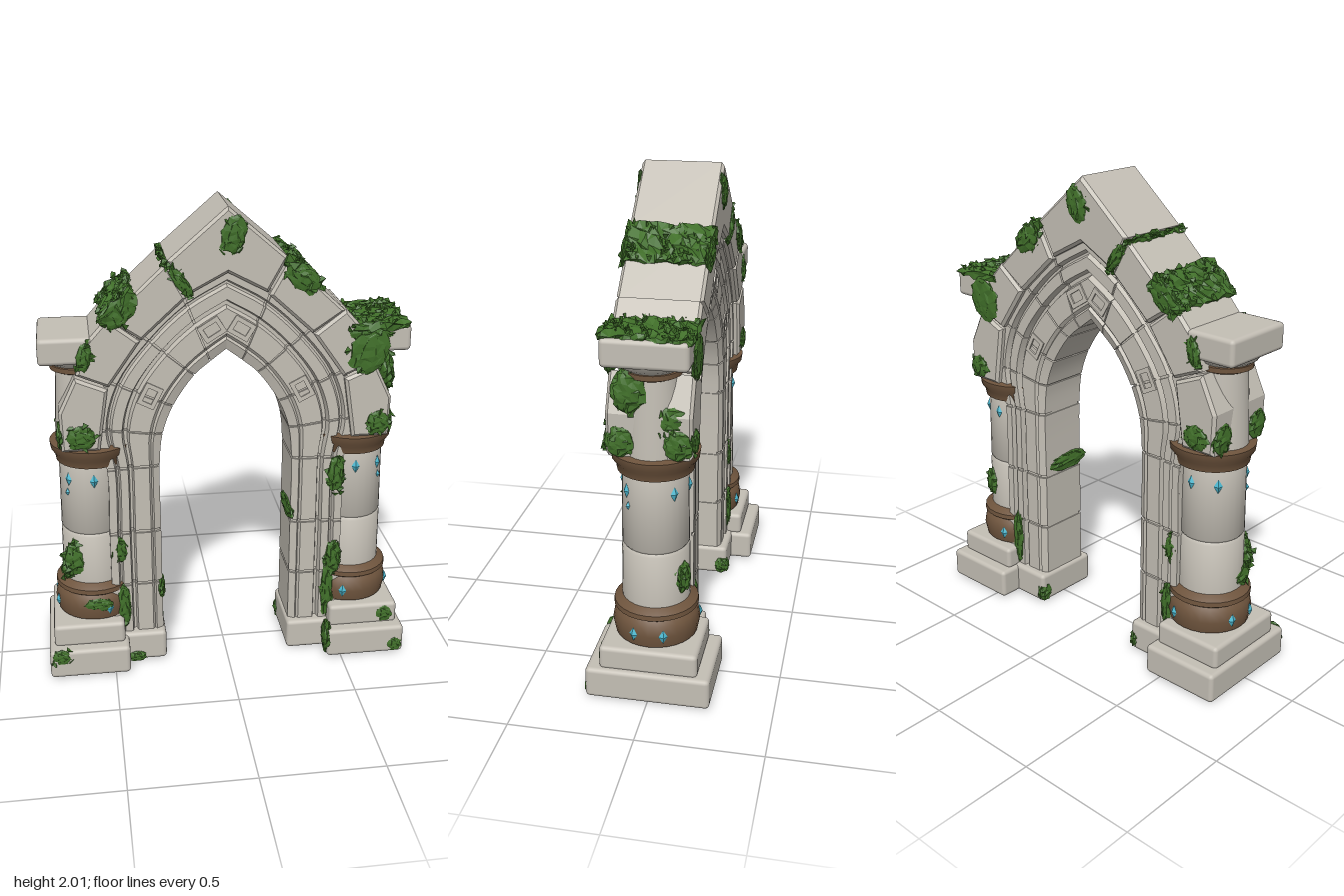
import * as THREE from 'three';
import { mergeGeometries, toCreasedNormals } from 'three/addons/utils/BufferGeometryUtils.js';
import { RoundedBoxGeometry } from 'three/addons/geometries/RoundedBoxGeometry.js';

const mat = (name, color) => {
  const m = new THREE.MeshStandardMaterial({ color });
  m.name = name;
  return m;
};

export function createModel() {
  const root = new THREE.Group();
  root.name = 'ruinedArch';
  const stone = mat('stone', 0xc4bfb5);
  const bronze = mat('bronze', 0x6e543d);
  const moss = mat('moss', 0x41702a);
  const gem = mat('gem', 0x4dbad2);

  let seed = 7;
  const rnd = () => (seed = (seed * 16807) % 2147483647) / 2147483647;

  const add = (name, geo, material, x = 0, y = 0, z = 0) => {
    const m = new THREE.Mesh(geo, material);
    m.name = name;
    m.position.set(x, y, z);
    root.add(m);
    return m;
  };
  // Rounded block given by its limits
  const block = (name, x0, x1, y0, y1, hz, s) =>
    add(name, new RoundedBoxGeometry(x1 - x0, y1 - y0, hz * 2, 2, .018), stone, s * (x0 + x1) / 2, (y0 + y1) / 2);
  const vec = pts => pts.map(p => new THREE.Vector2(...p));
  const lathe = (name, pts, material, x) =>
    add(name, toCreasedNormals(new THREE.LatheGeometry(vec(pts), 28), 0.7), material, x);
  const prism = (name, pts) => {
    const hz = .165, b = .012;
    const geo = new THREE.ExtrudeGeometry(new THREE.Shape(vec(pts)), {
      depth: 2 * (hz - b), bevelThickness: b, bevelSize: b, bevelOffset: -b, bevelSegments: 1,
    });
    return add(name, geo.translate(0, 0, b - hz), stone);
  };

  // Moulded inner arch: a section swept between the opening and the outer ring
  const curve = (x, pts) => new THREE.CatmullRomCurve3(
    [[x, .13], [x, .37], [x, .62], [x, .92], ...pts].map(p => new THREE.Vector3(...p, 0)));
  const inner = curve(.28, [[.265, 1.06], [.22, 1.18], [.13, 1.31], [.065, 1.365], [0, 1.415]]);
  const outer = curve(.5, [[.54, 1.1], [.49, 1.31], [.35, 1.5], [.18, 1.66], [0, 1.76]]);
  const section = [[0, .108], [.13, .124], [.16, .112], [.2, .124], [.5, .124], [.53, .1], [.58, .1],
    [.61, .13], [.76, .13], [.79, .112], [.82, .112], [.85, .137], [1, .137]];
  const at = (t, f) => inner.getPoint(t).lerp(outer.getPoint(t), f);
  const sweep = (t0, t1, steps, s, shrink) => {
    const half = section.map(([f, z]) => [Math.max(f, shrink), z - shrink * 0.4]);
    const ring = [...half, ...half.map(([f, z]) => [f, -z]).reverse()];
    const n = ring.length, pos = [];
    const rows = Array.from({ length: steps + 1 }, (_, j) => {
      const t = t0 + (t1 - t0) * j / steps;
      return ring.map(([f, z]) => { const p = at(t, f); return [p.x * s, p.y, z]; });
    });
    const quad = (a, b, c, d) => pos.push(...(s > 0 ? [a, b, c, a, c, d] : [a, c, b, a, d, c]).flat());
    for (let j = 0; j < steps; j++) for (let i = 0; i < n; i++) {
      const k = (i + 1) % n;
      quad(rows[j][i], rows[j][k], rows[j + 1][k], rows[j + 1][i]);
    }
    const p = rows[0], q = rows[steps];
    for (let i = 0; i < half.length - 1; i++) {
      quad(q[i], q[i + 1], q[n - 2 - i], q[n - 1 - i]);
      quad(p[n - 1 - i], p[n - 2 - i], p[i + 1], p[i]);
    }
    const g = new THREE.BufferGeometry();
    g.setAttribute('position', new THREE.Float32BufferAttribute(pos, 3));
    g.computeVertexNormals();
    return toCreasedNormals(g, 0.35);
  };

  // Rectangle outline for the panel frames
  const rect = (a, b, Type) => new Type(vec([[-a, -b], [a, -b], [a, b], [-a, b]]));

  for (const s of [1, -1]) {
    // Stepped plinth and jamb foot
    block('plinth', .435, .78, 0, .13, .25, s);
    block('plinthStep', .452, .757, .12, .222, .197, s);
    block('jambFoot', .27, .5, 0, .135, .155, s);

    // Jamb and arch blocks over a recessed core that shows in the joints
    add('archCore', sweep(0, 1, 32, s, .02), stone);
    for (let i = 0; i < 8; i++) add('archBlock', sweep((i + .025) / 8, i === 7 ? 1 : (i + .975) / 8, 4, s, 0), stone);

    // Raised panel frames on the inner band, front and back
    for (const t of [.63, .93]) {
      const shape = rect(.038, .048, THREE.Shape);
      shape.holes.push(rect(.02, .03, THREE.Path));
      const p = at(t, .36), d = at(t + .02, .36).sub(at(t - .02, .36));
      for (const z of [.122, -.13]) {
        const m = add('panelFrame', new THREE.ExtrudeGeometry(shape, { depth: .008, bevelEnabled: false }), stone, s * p.x, p.y, z);
        m.rotation.z = s * (Math.atan2(d.y, d.x) - Math.PI / 2);
      }
    }

    // Outer ring of large blocks
    for (const pts of [
      [[.245, 1.785], [.475, 1.57], [.345, 1.48], [.165, 1.645]],
      [[.48, 1.575], [.565, 1.48], [.61, 1.345], [.48, 1.29], [.35, 1.475]],
      [[.615, 1.335], [.685, 1.19], [.68, 1.02], [.525, 1.02], [.485, 1.28]],
    ]) prism('ringBlock', pts.map(([x, y]) => [x * s, y]));

    // Column with bronze base and collar
    const cx = s * .567;
    lathe('columnBase', [[.14, .215], [.165, .23], [.175, .28], [.167, .325], [.152, .34], [.17, .352], [.168, .372], [.15, .385], [.12, .4]], bronze, cx);
    lathe('lowerDrum', [[.1, .38], [.136, .39], [.134, .61], [.126, .622]], stone, cx);
    lathe('upperDrum', [[.126, .622], [.133, .632], [.129, .92], [.12, .95]], stone, cx);
    lathe('columnCollar', [[.12, .93], [.15, .935], [.155, .965], [.17, .985], [.174, 1.015], [.1, 1.028]], bronze, s * .557);
    lathe('upperShaft', [[.115, 1], [.112, 1.1], [.1, 1.33]], stone, s * .59);
    lathe('neckRing', [[.09, 1.325], [.112, 1.335], [.112, 1.355], [.09, 1.365]], bronze, s * .6);
    lathe('capitalFlare', [[.1, 1.355], [.125, 1.372], [.14, 1.4]], stone, s * .605);
    block('capital', .535, .755, 1.39, 1.5, .165, s);

    // Gems, angles measured from the outer side of the column
    const addGem = (deg, y, r, size) => {
      const a = deg * Math.PI / 180;
      const g = add('gem', new THREE.OctahedronGeometry(1), gem, cx + s * Math.cos(a) * r, y, Math.sin(a) * r);
      g.scale.set(.018 * size, .03 * size, .012);
      g.rotation.y = Math.atan2(s * Math.cos(a), Math.sin(a));
    };
    for (const side of [1, -1]) {
      for (const deg of [45, 95]) addGem(deg * side, .87, .131, 1);
      for (const deg of [20, 108]) addGem(deg * side, .283, .174, 1);
    }
    addGem(41, .81, .131, .6);
  }
  prism('keystone', [[0, 2], [.238, 1.795], [.16, 1.655], [0, 1.74], [-.16, 1.655], [-.238, 1.795]]);

  // Moss: roughened lumps and drapes, with loose leaves
  const roughen = (g, amt) => {
    const p = g.attributes.position, v = new THREE.Vector3();
    const hash = (a, b) => { const q = Math.sin(Math.round(a * 500) * 12.99 + b) * 43758.5; return q - Math.floor(q) - .5; };
    for (let i = 0; i < p.count; i++) {
      v.fromBufferAttribute(p, i);
      const k = v.x + v.y * 3.1 + v.z * 7.3;
      p.setXYZ(i, v.x + hash(k, 1) * amt, v.y + hash(k, 2) * amt, v.z + hash(k, 3) * amt);
    }
    g.computeVertexNormals();
    return g;
  };
  const leaf = (x, y, z) => new THREE.TetrahedronGeometry(.023).scale(1, .45, .8)
    .rotateX(rnd() * 6).rotateZ(rnd() * 6).translate(x, y, z);
  const clump = (x, y, z, rx, ry, rz, leaves, rot = 0) => {
    const parts = [roughen(new THREE.IcosahedronGeometry(1, 3), .3).scale(rx, ry, rz)];
    for (let i = 0; i < leaves; i++) {
      const a = rnd() * 6.28, k = .6 + rnd() * .6;
      parts.push(leaf(Math.cos(a) * rx * k, Math.sin(a) * ry * k, (rnd() - .3) * rz));
    }
    add('mossClump', mergeGeometries(parts), moss, x, y, z).rotation.z = rot;
  };
  const drape = (x, y, w, h, d, rot, leaves) => {
    const parts = [roughen(new THREE.BoxGeometry(w, h, d, 7, 2, 14).toNonIndexed(), .022)];
    for (let i = 0; i < leaves; i++) parts.push(leaf((rnd() - .5) * w, h / 2, (rnd() - .5) * d));
    add('mossDrape', mergeGeometries(parts), moss, x, y).rotation.z = rot;
  };
  drape(.29, 1.73, .17, .05, .345, -.75, 50);
  drape(-.43, 1.605, .17, .055, .345, .75, 50);
  drape(-.243, 1.775, .02, .03, .335, .75, 4);
  drape(.625, 1.5, .235, .03, .345, 0, 70);

  // Patches repeated on both faces: x, y, z, half width, half height, turn
  for (const [x, y, z, rx, ry, rot] of [
    [.02, 1.89, .163, .05, .075, -.3], [-.185, 1.71, .163, .025, .07, .6], [.3, 1.71, .163, .05, .08, .85],
    [-.43, 1.6, .163, .05, .08, -.85], [-.575, 1.42, .163, .03, .06, -.2], [.58, 1.4, .163, .08, .1, -.4],
    [.63, 1.08, .163, .05, .05, 0], [-.6, 1.08, .163, .06, .05, 0],
    [.45, .27, .13, .03, .13, 0], [-.45, .27, .13, .03, .1, 0], [-.46, .54, .124, .032, .06, 0],
  ]) for (const side of [z, -z]) clump(x, y, side, rx, ry, .016, 8, rot);

  // Leafy growth climbing the capital, columns and jambs
  clump(.68, 1.28, .07, .03, .08, .07, 14);
  clump(.66, 1.17, -.08, .03, .06, .07, 8);
  clump(.58, 1.47, .15, .1, .045, .025, 14);
  clump(-.64, .5, .1, .055, .08, .03, 30);
  clump(-.68, .43, .04, .03, .05, .06, 16);
  clump(.62, .5, -.115, .04, .07, .03, 16);
  for (const y of [.84, .44]) clump(.47, y, .133, .035, .08, .022, 18);
  for (const s of [1, -1]) for (const z of [.11, -.11]) clump(s * .68, 1.08, z, .02, .06, .055, 4);

  // Thin growth on the jamb edges, bronze base and plinths
  clump(.283, .66, .03, .018, .04, .11, 0);
  clump(-.285, .33, .08, .018, .05, .06, 0);
  clump(-.56, .3, .165, .06, .03, .012, 0);
  clump(.7, .17, .19, .04, .04, .014, 0);
  clump(.74, .04, .243, .035, .035, .014, 0);
  clump(-.73, .1, .243, .04, .035, .014, 4);
  clump(.44, .08, .2, .02, .08, .05, 0);
  clump(-.4, .02, .152, .04, .025, .014, 0);
  for (const s of [1, -1]) clump(s * .285, .045, -.13, .025, .045, .035, 0);

  return root;
}
